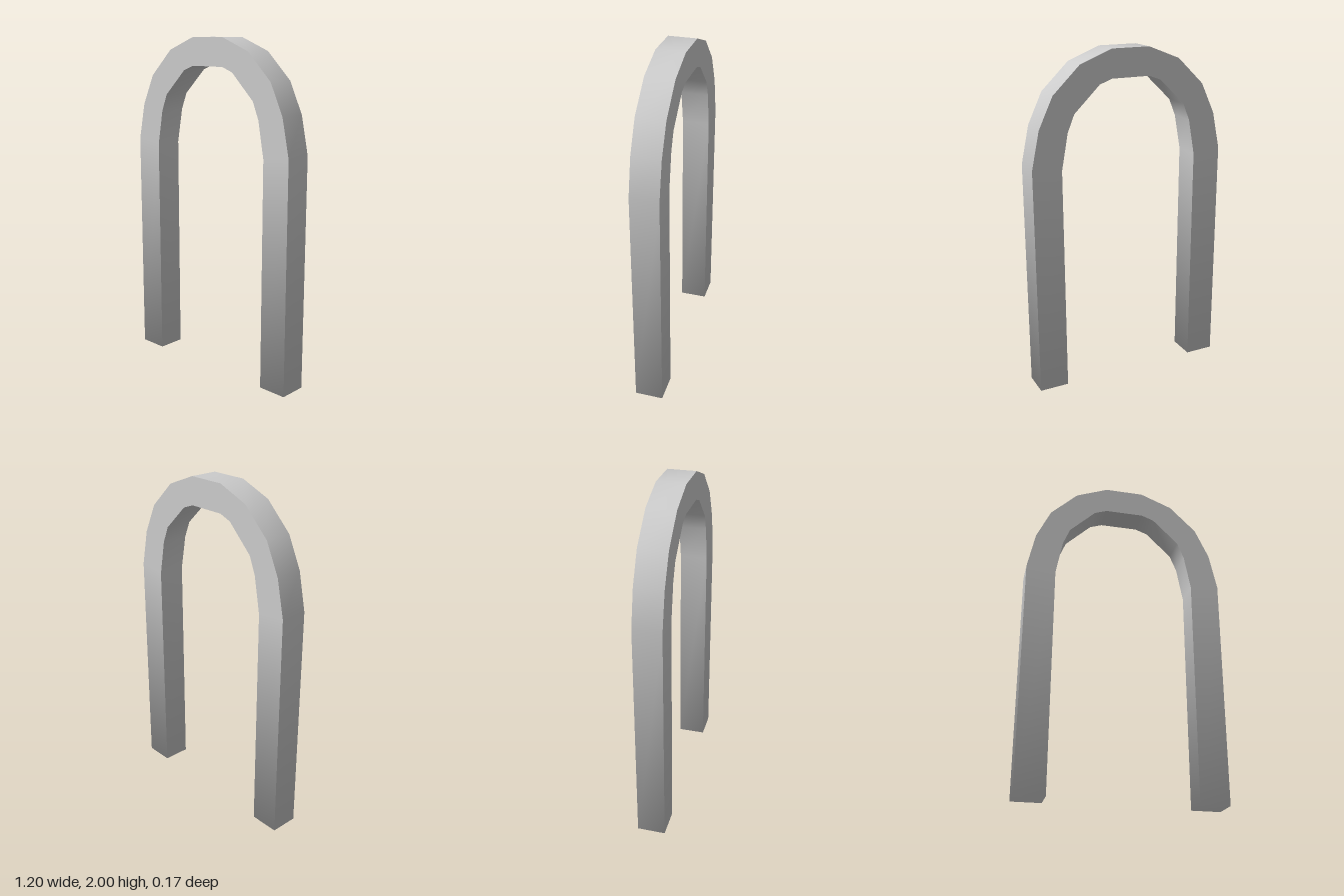
import * as THREE from 'three';

// Matching outer and inner points of one half of the arch, floor to crown
const half = [
  [[0.6, 0], [0.425, 0]],
  [[0.6, 1.37], [0.425, 1.35]],
  [[0.553, 1.59], [0.386, 1.56]],
  [[0.468, 1.77], [0.345, 1.66]],
  [[0.307, 1.925], [0.19, 1.81]],
  [[0.115, 2], [0.115, 1.837]],
];
const depth = 0.083;

function archGeometry() {
  const mirror = ([x, y]) => [-x, y];
  const path = [...half, ...half.map((pair) => pair.map(mirror)).reverse()];

  // Four-cornered cross-section at every step of the path
  const rings = path.map(([o, i]) => [
    [...o, depth], [...o, -depth], [...i, -depth], [...i, depth],
  ]);
  const last = rings.length - 1;
  const positions = [], index = [], rounded = [];
  const add = (r, k) => {
    if (r === 0 || r === last) rounded.push([positions.length / 3, r, k]);
    positions.push(...rings[r][k]);
  };

  // Each long side has its own vertices: sharp edges, smooth along the arch
  for (let k = 0; k < 4; k++) {
    const base = positions.length / 3;
    for (let r = 0; r <= last; r++) {
      add(r, k);
      add(r, (k + 1) % 4);
      if (r < last) {
        const a = base + 2 * r;
        index.push(a, a + 1, a + 3, a, a + 3, a + 2);
      }
    }
  }

  // Feet
  for (const [r, order] of [[0, [0, 3, 2, 1]], [last, [0, 1, 2, 3]]]) {
    const b = positions.length / 3;
    order.forEach((k) => add(r, k));
    index.push(b, b + 1, b + 2, b, b + 2, b + 3);
  }

  const geometry = new THREE.BufferGeometry();
  geometry.setAttribute('position', new THREE.Float32BufferAttribute(positions, 3));
  geometry.setIndex(index);
  geometry.computeVertexNormals();

  // Soft shading around the corners of the feet
  const n = 1 / Math.sqrt(3);
  for (const [v, r, k] of rounded) {
    const outward = (k < 2 ? 1 : -1) * (r === 0 ? 1 : -1);
    const front = k === 0 || k === 3 ? 1 : -1;
    geometry.attributes.normal.setXYZ(v, outward * n, -n, front * n);
  }
  return geometry;
}

export function createModel() {
  const group = new THREE.Group();
  group.name = 'archway';
  const arch = new THREE.Mesh(archGeometry(), new THREE.MeshStandardMaterial({ color: 0xcccccc }));
  arch.name = 'arch';
  group.add(arch);
  return group;
}
